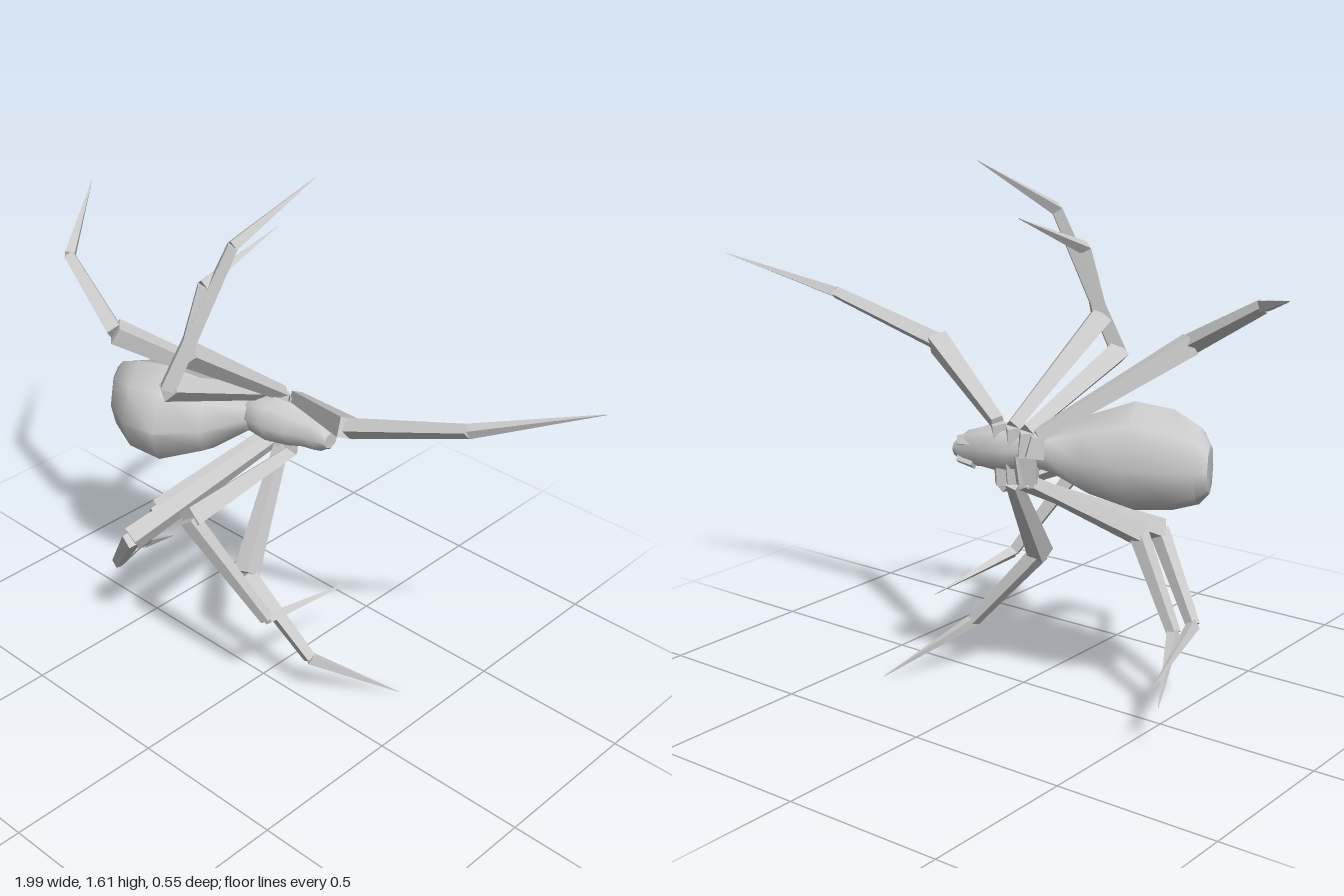
import * as THREE from 'three';
import { toCreasedNormals } from 'three/addons/utils/BufferGeometryUtils.js';

const smooth = new THREE.MeshStandardMaterial({ color: 0xcccccc });
const faceted = new THREE.MeshStandardMaterial({ color: 0xcccccc, flatShading: true });

// Skin over rings [x, y, z, half height in y, half depth], each ring turned by tilt about y
function loft(name, rings, sides, tilt) {
  const pos = [], index = [];
  for (const [x, y, z, ry, rd] of rings) {
    for (let j = 0; j < sides; j++) {
      const a = (j / sides) * Math.PI * 2;
      const d = Math.cos(a) * rd;
      pos.push(x + d * Math.sin(tilt), y + Math.sin(a) * ry, z + d * Math.cos(tilt));
    }
  }
  for (let i = 0; i < rings.length - 1; i++) {
    for (let j = 0; j < sides; j++) {
      const a = i * sides + j, b = i * sides + ((j + 1) % sides);
      index.push(a, a + sides, b, b, a + sides, b + sides);
    }
  }
  // End caps
  const last = (rings.length - 1) * sides;
  for (let j = 1; j < sides - 1; j++) {
    index.push(0, j, j + 1, last, last + j + 1, last + j);
  }
  const geo = new THREE.BufferGeometry();
  geo.setAttribute('position', new THREE.Float32BufferAttribute(pos, 3));
  geo.setIndex(index);
  const mesh = new THREE.Mesh(toCreasedNormals(geo, 0.85), smooth);
  mesh.name = name;
  return mesh;
}

// Four-sided tapered bar between two points
function bar(name, from, to, r0, r1) {
  const a = new THREE.Vector3(...from), b = new THREE.Vector3(...to);
  const dir = b.clone().sub(a);
  const mesh = new THREE.Mesh(new THREE.CylinderGeometry(r1, r0, dir.length(), 4), faceted);
  mesh.position.copy(a).add(b).multiplyScalar(0.5);
  mesh.quaternion.setFromUnitVectors(new THREE.Vector3(0, 1, 0), dir.normalize());
  mesh.name = name;
  return mesh;
}

// Each leg: hip, first knee, second knee, tip
const legs = {
  upperLeg1: [[-0.09, 0.885, -0.235], [0.31, 1.03, -0.02], [0.68, 1.15, -0.075], [0.995, 1.262, -0.235]],
  upperLeg2: [[-0.14, 0.88, -0.23], [-0.18, 1.14, 0.13], [-0.16, 1.345, 0.08], [-0.12, 1.455, -0.18]],
  upperLeg3: [[-0.18, 0.87, -0.22], [-0.21, 1.035, 0.18], [-0.11, 1.46, 0.01], [-0.035, 1.612, -0.25]],
  upperLeg4: [[-0.21, 0.86, -0.21], [-0.49, 1.1, 0.13], [-0.75, 1.245, 0.075], [-0.998, 1.33, -0.235]],
  lowerLeg1: [[-0.09, 0.70, -0.215], [-0.06, 0.685, 0.25], [0.14, 0.36, 0.13], [0.155, 0.318, -0.235]],
  lowerLeg2: [[-0.13, 0.71, -0.215], [-0.02, 0.41, 0.055], [0.19, 0.16, -0.01], [0.37, 0, -0.23]],
  lowerLeg3: [[-0.16, 0.715, -0.21], [-0.32, 0.49, 0.25], [-0.51, 0.26, 0.15], [-0.625, 0.223, -0.235]],
  lowerLeg4: [[-0.19, 0.72, -0.21], [-0.34, 0.52, 0.11], [-0.52, 0.275, 0.03], [-0.615, 0.148, -0.19]],
};

export function createModel() {
  const model = new THREE.Group();

  // Raised, tilted abdomen with a blunt tail
  model.add(loft('abdomen', [
    [-0.65, 0.795, -0.01, 0.07, 0.05],
    [-0.61, 0.795, 0.004, 0.11, 0.095],
    [-0.52, 0.795, 0.008, 0.145, 0.14],
    [-0.41, 0.795, -0.022, 0.158, 0.158],
    [-0.3, 0.795, -0.088, 0.115, 0.112],
    [-0.22, 0.805, -0.16, 0.06, 0.055],
    [-0.16, 0.81, -0.195, 0.045, 0.04],
  ], 8, 0.38));

  // Flattened thorax stepping down to a wedge-shaped head
  model.add(loft('thoraxAndHead', [
    [-0.24, 0.81, -0.165, 0.04, 0.04],
    [-0.19, 0.815, -0.175, 0.065, 0.06],
    [-0.13, 0.81, -0.19, 0.075, 0.072],
    [-0.06, 0.805, -0.21, 0.07, 0.062],
    [-0.02, 0.8, -0.222, 0.058, 0.048],
    [0.02, 0.793, -0.23, 0.052, 0.038],
    [0.055, 0.79, -0.235, 0.025, 0.028],
  ], 8, 0));

  // Pair of short jaws under the head
  for (const s of [-1, 1]) {
    model.add(bar('jaw', [-0.01, 0.79 + s * 0.03, -0.24], [0.04, 0.79 + s * 0.024, -0.252], 0.026, 0.018));
  }

  // Legs, each with a stub at the body and three tapering segments
  for (const [name, [hip, knee, ankle, tip]] of Object.entries(legs)) {
    const leg = new THREE.Group();
    leg.name = name;
    const root = [hip[0] * 0.9 - 0.012, 0.8, -0.215];
    leg.add(
      bar('hipJoint', root, hip, 0.036, 0.026),
      bar('thigh', hip, knee, 0.024, 0.041),
      bar('shin', knee, ankle, 0.031, 0.021),
      bar('foot', ankle, tip, 0.021, 0.001),
    );
    model.add(leg);
  }
  return model;
}
